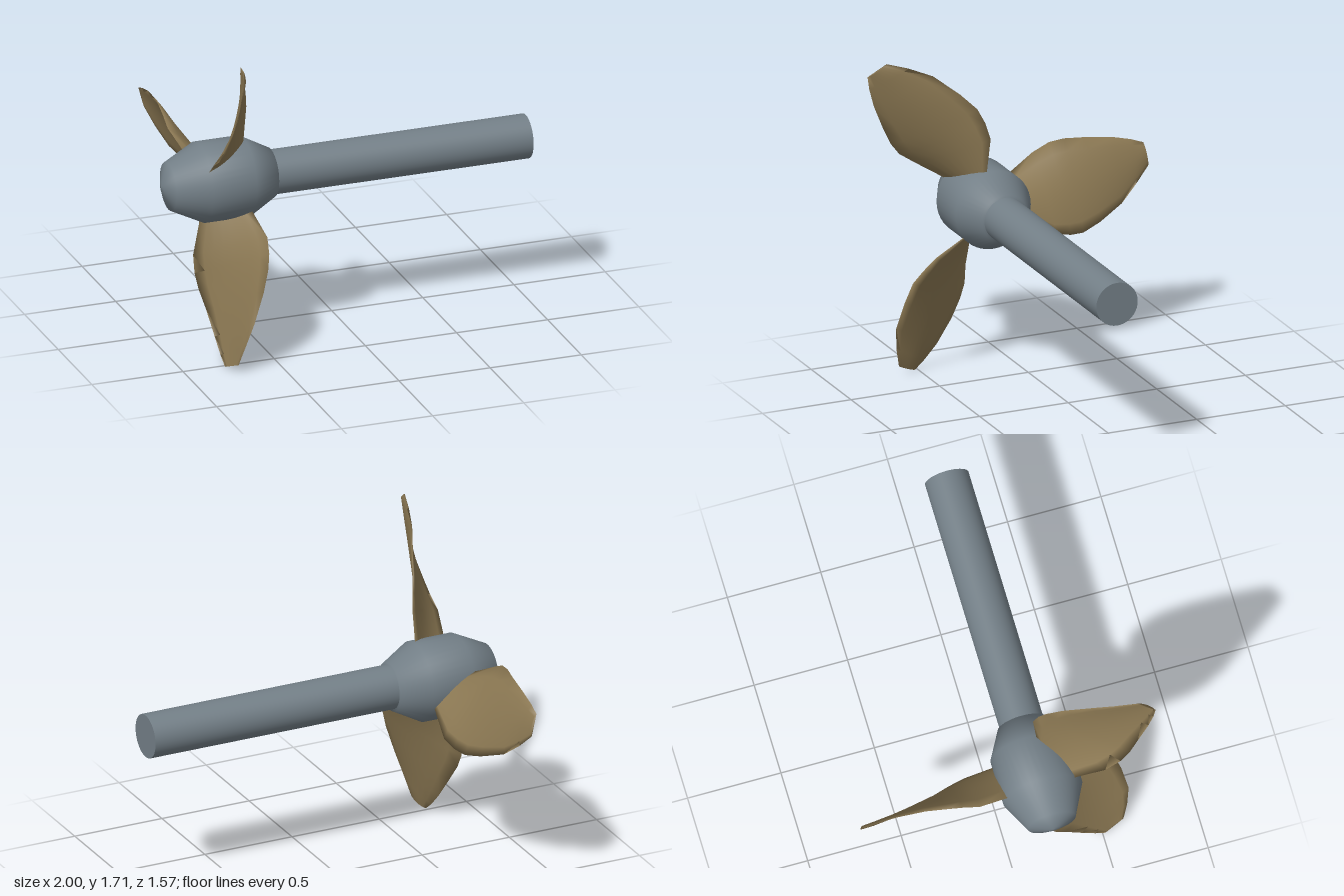
import * as THREE from 'three';

const AXIS_Y = 0.91, AXIS_Z = 0.175;

// Blade stations: radius, then y offset and x of the leading and trailing edges
const STATIONS = [
  [0.12, 0.06, -0.79, -0.06, -0.57],
  [0.20, 0.09, -0.80, -0.08, -0.56],
  [0.35, 0.17, -0.835, -0.18, -0.54],
  [0.44, 0.213, -0.83, -0.203, -0.553],
  [0.52, 0.225, -0.82, -0.21, -0.575],
  [0.63, 0.222, -0.80, -0.18, -0.61],
  [0.78, 0.205, -0.785, -0.12, -0.67],
  [0.88, 0.18, -0.78, -0.04, -0.71],
  [0.955, 0.155, -0.775, 0.04, -0.74],
];

// Thin, twisted and cambered blade pointing along -z
function bladeGeometry() {
  const half = 8, ring = half * 2;
  const positions = [], index = [];
  STATIONS.forEach(([r, yLead, xLead, yTrail, xTrail], i) => {
    const k = i / (STATIONS.length - 1);
    const thick = 0.014 - 0.008 * k;
    const camber = 0.03 * (1 - 0.7 * k);
    const skew = i === STATIONS.length - 1 ? 0.007 : 0;
    for (let j = 0; j < ring; j++) {
      const side = j <= half ? 1 : -1;
      const t = j <= half ? j / half : (ring - j) / half;
      const bow = Math.sin(Math.PI * Math.pow(t, 0.8));
      const x = THREE.MathUtils.lerp(xLead, xTrail, t) + camber * bow
        + side * thick * Math.sqrt(Math.sin(Math.PI * t) + 1e-9);
      positions.push(x, THREE.MathUtils.lerp(yLead, yTrail, t), -(r + skew * (2 * t - 1)));
    }
  });
  for (let i = 0; i < STATIONS.length - 1; i++) {
    for (let j = 0; j < ring; j++) {
      const a = i * ring + j, b = i * ring + (j + 1) % ring;
      index.push(a, b, a + ring, b, b + ring, a + ring);
    }
  }
  // Tip cap
  const tip = (STATIONS.length - 1) * ring;
  for (let j = 1; j < ring - 1; j++) index.push(tip, tip + j, tip + j + 1);

  const geometry = new THREE.BufferGeometry();
  geometry.setAttribute('position', new THREE.Float32BufferAttribute(positions, 3));
  geometry.setIndex(index);
  geometry.computeVertexNormals();
  return geometry;
}

export function createModel() {
  const model = new THREE.Group();
  model.name = 'propeller';
  const steel = new THREE.MeshStandardMaterial({ color: 0x737f87 });
  steel.name = 'steel';
  const bronze = new THREE.MeshStandardMaterial({ color: 0x8a7752 });
  bronze.name = 'bronze';

  const assembly = new THREE.Group();
  assembly.name = 'propellerAssembly';
  assembly.position.set(0, AXIS_Y, AXIS_Z);
  model.add(assembly);

  // Hub with a tapered nose, turned around the shaft axis
  const profile = [[0, -1], [0.03, -0.995], [0.128, -0.96], [0.212, -0.79],
    [0.212, -0.55], [0.13, -0.4], [0, -0.395]]
    .map(([r, x]) => new THREE.Vector2(r, x));
  const hub = new THREE.Mesh(new THREE.LatheGeometry(profile, 40), steel);
  hub.name = 'hub';
  hub.rotation.z = -Math.PI / 2;
  assembly.add(hub);

  // Drive shaft
  const shaft = new THREE.Mesh(new THREE.CylinderGeometry(0.117, 0.117, 1.42, 40), steel);
  shaft.name = 'shaft';
  shaft.rotation.z = -Math.PI / 2;
  shaft.position.x = 0.29;
  assembly.add(shaft);

  // Three equal blades
  const geometry = bladeGeometry();
  for (let i = 0; i < 3; i++) {
    const blade = new THREE.Mesh(geometry, bronze);
    blade.name = `blade${i + 1}`;
    blade.rotation.x = i * Math.PI * 2 / 3;
    assembly.add(blade);
  }
  return model;
}
